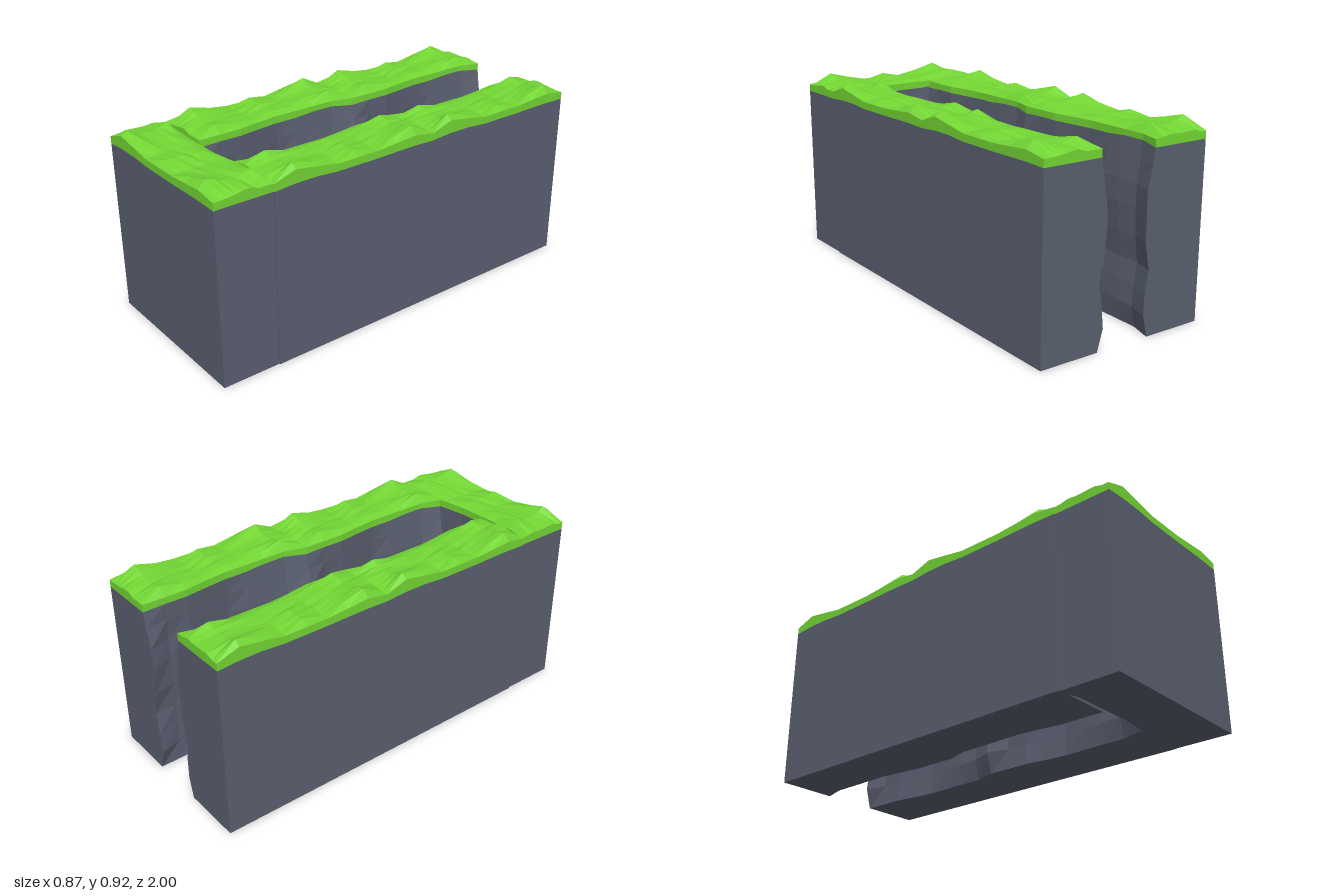
import * as THREE from 'three';

const rockMaterial = new THREE.MeshStandardMaterial({ color: 0x5a5f70, flatShading: true });
const grassMaterial = new THREE.MeshStandardMaterial({ color: 0x73d634, flatShading: true });

// One repeating block of wall has eight steps along its length
const STEPS = 8;
const outerEdge = [0.86, 0.895, 0.878, 0.86, 0.86, 0.86, 0.868, 0.876, 0.86];
const ridge = [0.86, 0.915, 0.887, 0.86, 0.885, 0.86, 0.885, 0.912, 0.86];
const seam = [0.825, 0.833, 0.833, 0.825, 0.825, 0.825, 0.827, 0.828, 0.825];
const thickness = [0.29, 0.26, 0.26, 0.26, 0.26, 0.272, 0.29, 0.29, 0.29];
const bulge = [0.04, 0.03, 0.03, 0.02, 0, 0, 0, 0, 0.04];

// Turf cross-section: fraction of the depth, and share of the ridge height
const turfDepth = [0, 0.11, 0.24, 0.36, 0.48, 0.6, 0.72, 0.86, 1];
const turfShare = [0, 1, 0.6, 0.4, 0.4, 0.25, 0.35, 0.5, 0];

// Inner rock face: height, and share of the bulge
const rockRows = [[0, 0.1], [0.1, 0.85], [0.2, 0.7], [0.3, 0.2], [0.42, 0.8], [0.55, 1], [0.65, 0.8], [0.75, 0.3]];

// Repeatable noise in -1..1
function noise(i, j) {
  const s = Math.sin(i * 127.1 + j * 311.7 + 4.2) * 43758.5453;
  return (s - Math.floor(s)) * 2 - 1;
}

// Cross-sections are lists of [depth, height], counter-clockwise seen from +x
function rockRing(i) {
  const inner = rockRows.map(([y, share], r) =>
    [thickness[i] + bulge[i] * share + (r > 0 && r < 7 ? 0.005 * noise(i, r) - 0.004 : 0), y]);
  return [[0, 0], ...inner, [thickness[i], seam[i]], [0, seam[i]]];
}

function turfRing(i) {
  const top = turfDepth.map((f, j) => {
    let y = 0.86 + (ridge[i] - 0.86) * turfShare[j];
    if (j === 0) y = outerEdge[i];
    else if (j > 1 && j < 8) y += 0.008 + 0.008 * noise(i + 20, j);
    return [f * thickness[i], y];
  });
  return [[0, seam[i]], [thickness[i], seam[i]], ...top.reverse()];
}

// Skins a row of cross-sections and closes both ends
function loft(rings, step) {
  const positions = [];
  const indices = [];
  const n = rings[0].length;
  rings.forEach((ring, i) => ring.forEach(([d, y]) => positions.push(i * step, y, -d)));
  for (let i = 0; i < rings.length - 1; i++) {
    for (let k = 0; k < n; k++) {
      const a = i * n + k, b = i * n + (k + 1) % n;
      indices.push(a, b, a + n, b, b + n, a + n);
    }
  }
  const last = (rings.length - 1) * n;
  [0, last].forEach((start) => {
    const contour = rings[start / n].map(([d, y]) => new THREE.Vector2(d, y));
    THREE.ShapeUtils.triangulateShape(contour, []).forEach(([a, b, c]) => {
      if (start) indices.push(start + a, start + b, start + c);
      else indices.push(a, c, b);
    });
  });
  const geometry = new THREE.BufferGeometry();
  geometry.setAttribute('position', new THREE.Float32BufferAttribute(positions, 3));
  geometry.setIndex(indices);
  const flat = geometry.toNonIndexed();
  flat.computeVertexNormals();
  return flat;
}

// A wall of one or more blocks; its outer face is local z = 0
function wall(name, blocks, length) {
  const columns = [0];
  for (let i = 1; i <= blocks * STEPS; i++) columns.push(i % STEPS || STEPS);
  const step = length / (blocks * STEPS);
  const rock = new THREE.Mesh(loft(columns.map(rockRing), step), rockMaterial);
  rock.name = name + 'Rock';
  const turf = new THREE.Mesh(loft(columns.map(turfRing), step), grassMaterial);
  turf.name = name + 'Grass';
  const group = new THREE.Group();
  group.name = name;
  group.add(rock, turf);
  return group;
}

export function createModel() {
  const model = new THREE.Group();
  model.name = 'deadEndCliff';

  const front = wall('frontWall', 1, 0.856);
  front.position.set(-0.428, 0, 1);

  const left = wall('leftWall', 2, 1.72);
  left.rotation.y = Math.PI / 2;
  left.position.set(0.433, 0, 0.72);

  const right = wall('rightWall', 2, 1.72);
  right.rotation.y = -Math.PI / 2;
  right.position.set(-0.433, 0, -1);

  model.add(front, left, right);
  return model;
}
